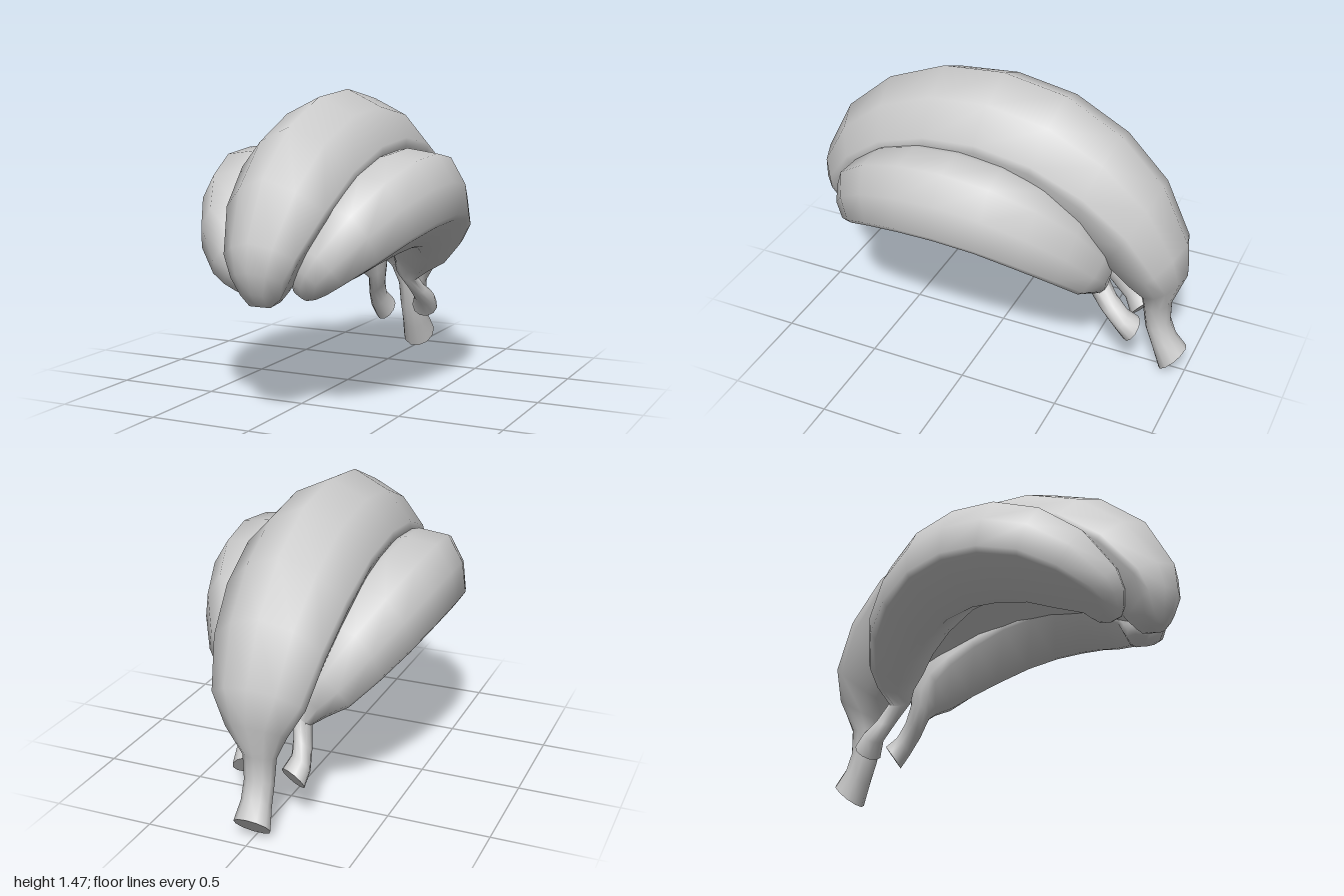
import * as THREE from 'three';
import { toCreasedNormals } from 'three/addons/utils/BufferGeometryUtils.js';

// Stations from tip to stem end: outer z, y, inner z, y, half width, roundness
const STATIONS = [
  [0.92, 0.54, 0.85, 0.525, 0.05, 1],
  [0.965, 0.60, 0.79, 0.54, 0.09, 0.8],
  [1.0, 0.70, 0.76, 0.58, 0.135, 0.4],
  [0.99, 0.83, 0.73, 0.63, 0.18, 0.1],
  [0.85, 1.10, 0.57, 0.71, 0.25, 0],
  [0.61, 1.31, 0.41, 0.79, 0.29, 0],
  [0.31, 1.435, 0.22, 0.84, 0.312, 0],
  [0.0, 1.465, 0.02, 0.86, 0.318, 0],
  [-0.32, 1.41, -0.20, 0.83, 0.314, 0],
  [-0.60, 1.26, -0.42, 0.74, 0.3, 0.1],
  [-0.82, 1.04, -0.59, 0.63, 0.27, 0.2],
  [-0.955, 0.76, -0.70, 0.52, 0.225, 0.4],
  [-0.97, 0.58, -0.76, 0.44, 0.145, 0.8],
  [-0.905, 0.40, -0.765, 0.36, 0.08, 1],
  [-0.905, 0.28, -0.785, 0.23, 0.072, 1],
  [-0.935, 0.20, -0.83, 0.11, 0.074, 1],
  [-0.995, 0.13, -0.87, 0.0, 0.088, 1],
];

// Cross-sections as [side, depth] fractions, starting at the ridge
const mirrored = (half) => [...half, ...half.slice(1).reverse().map(([x, d]) => [-x, d])];
const BODY = mirrored([[0, 0], [0.57, 0.14], [1, 0.38], [1, 0.45], [0.61, 0.95], [0.52, 1]]);
const STEM = mirrored([[0, 0], [0.54, 0.08], [0.92, 0.29], [1, 0.57], [0.76, 0.84], [0.28, 1]]);

// Share of the stem shift taken by the last stations
const BEND_START = 12;
const STEM_BEND = [0.05, 0.15, 0.58, 0.9, 1];

// Lofts one fruit, places it by a matrix, then bends its stem by a shift
function fruitGeometry(matrix, stemShift) {
  const n = BODY.length;
  const positions = [];
  const index = [];
  const v = new THREE.Vector3();
  STATIONS.forEach(([oz, oy, iz, iy, w, round], i) => {
    for (let j = 0; j < n; j++) {
      const side = THREE.MathUtils.lerp(BODY[j][0], STEM[j][0], round);
      const depth = THREE.MathUtils.lerp(BODY[j][1], STEM[j][1], round);
      v.set(side * w, oy + (iy - oy) * depth, oz + (iz - oz) * depth).applyMatrix4(matrix);
      if (i >= BEND_START) v.addScaledVector(stemShift, STEM_BEND[i - BEND_START]);
      positions.push(v.x, v.y, v.z);
    }
  });
  const last = STATIONS.length - 1;
  for (let i = 0; i < last; i++) {
    for (let j = 0; j < n; j++) {
      const a = i * n + j, b = i * n + (j + 1) % n;
      index.push(a, b, a + n, b, b + n, a + n);
    }
  }
  // End caps
  for (let j = 1; j < n - 1; j++) {
    index.push(0, j + 1, j);
    index.push(last * n, last * n + j, last * n + j + 1);
  }
  const geometry = new THREE.BufferGeometry();
  geometry.setAttribute('position', new THREE.Float32BufferAttribute(positions, 3));
  geometry.setIndex(index);
  return toCreasedNormals(geometry, 1.2);
}

export function createModel() {
  const group = new THREE.Group();
  group.name = 'bananaBunch';
  const material = new THREE.MeshStandardMaterial({ color: 0xcccccc });
  const add = (name, matrix, shift) => {
    const mesh = new THREE.Mesh(fruitGeometry(matrix, shift), material);
    mesh.name = name;
    group.add(mesh);
  };

  // Large middle banana
  add('middleBanana', new THREE.Matrix4(), new THREE.Vector3());

  // Smaller bananas leaning out to each side
  const sides = [
    ['leftBanana', 1, new THREE.Vector3(0.19, 0, -0.14)],
    ['rightBanana', -1, new THREE.Vector3(-0.19, -0.035, -0.12)],
  ];
  for (const [name, s, shift] of sides) {
    const matrix = new THREE.Matrix4().compose(
      new THREE.Vector3(-0.104 * s, 0.224, 0.084),
      new THREE.Quaternion().setFromEuler(new THREE.Euler(0, 0, -s * THREE.MathUtils.degToRad(33))),
      new THREE.Vector3(0.77, 0.77, 0.737)
    );
    add(name, matrix, shift);
  }
  return group;
}
